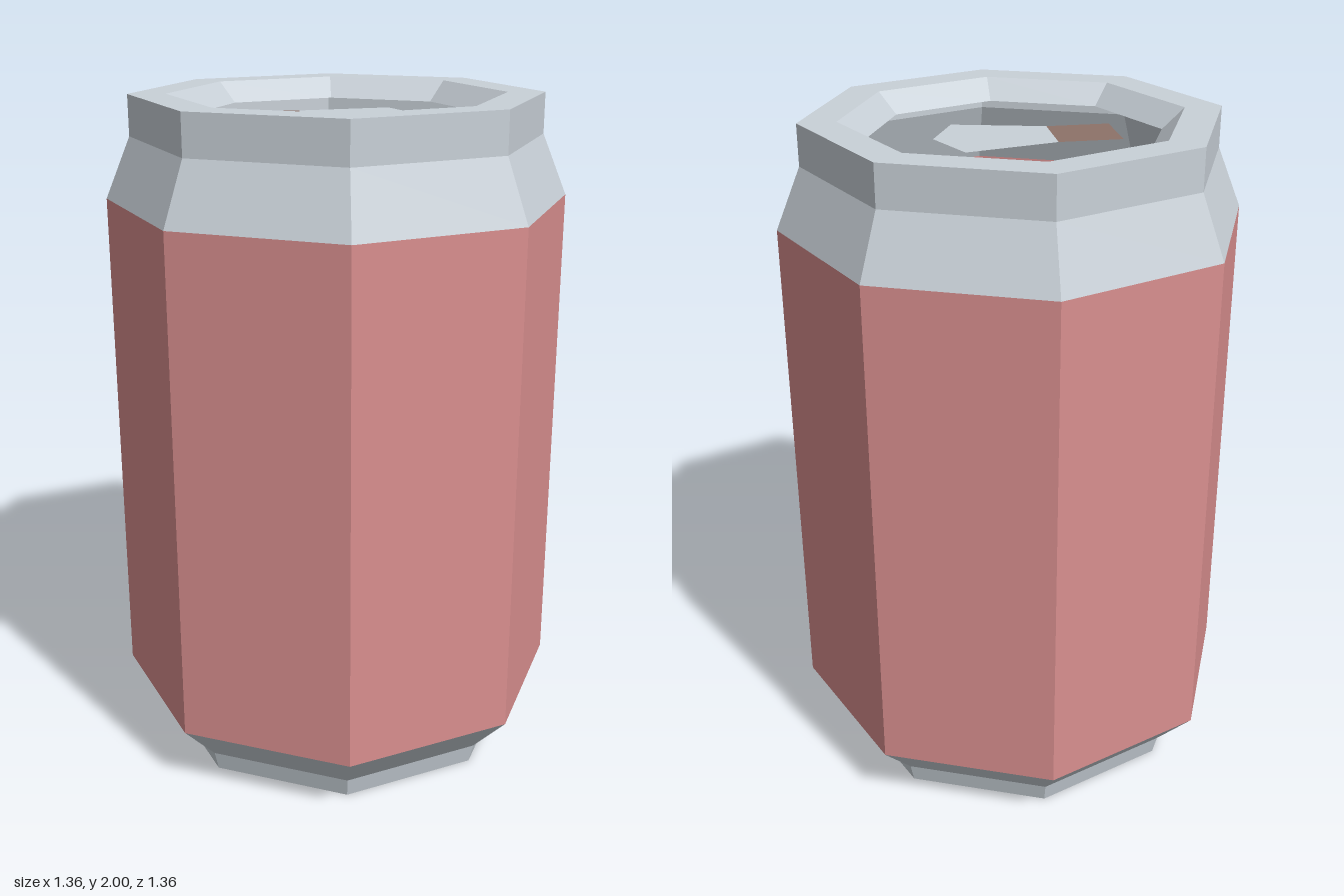
import * as THREE from 'three';

export function createModel() {
  const can = new THREE.Group();
  can.name = 'can';

  const material = (name, color) => {
    const m = new THREE.MeshStandardMaterial({ color, flatShading: true, side: THREE.DoubleSide });
    m.name = name;
    return m;
  };
  const metal = material('metal', 0xc9d1d8);
  const red = material('red paint', 0xd98f8f);
  const brown = material('brown opening', 0x8d7269);

  const add = (name, geometry, mat) => {
    const mesh = new THREE.Mesh(geometry, mat);
    mesh.name = name;
    can.add(mesh);
    return mesh;
  };

  // Eight-sided hollow shell sections, profiles as [radius, height]
  const shell = (name, profile, mat) =>
    add(name, new THREE.LatheGeometry(profile.map(([r, y]) => new THREE.Vector2(r, y)), 8), mat);

  shell('base', [[0, 0], [0.55, 0], [0.565, 0.06], [0.68, 0.185]], metal);
  shell('body', [[0.68, 0.185], [0.68, 1.7]], red);
  // Shoulder, neck, flat rim and the lip sloping inwards
  shell('neckAndRim', [[0.68, 1.7], [0.605, 1.88], [0.605, 2], [0.495, 2], [0.43, 1.94]], metal);

  // Flat plates lying across the open top, outlines as [x, z]
  const plate = (name, outline, mat) => {
    const shape = new THREE.Shape(outline.map(([x, z]) => new THREE.Vector2(x, -z)));
    const mesh = add(name, new THREE.ShapeGeometry(shape).rotateX(-Math.PI / 2), mat);
    mesh.position.y = 1.94;
  };

  plate('drinkingHole', [[-0.295, 0.09], [-0.11, 0.09], [-0.11, -0.09], [-0.295, -0.09]], brown);
  plate('pullTab', [[-0.11, 0.09], [0.16, 0.155], [0.23, 0], [0.16, -0.155], [-0.11, -0.09]], metal);

  return can;
}
